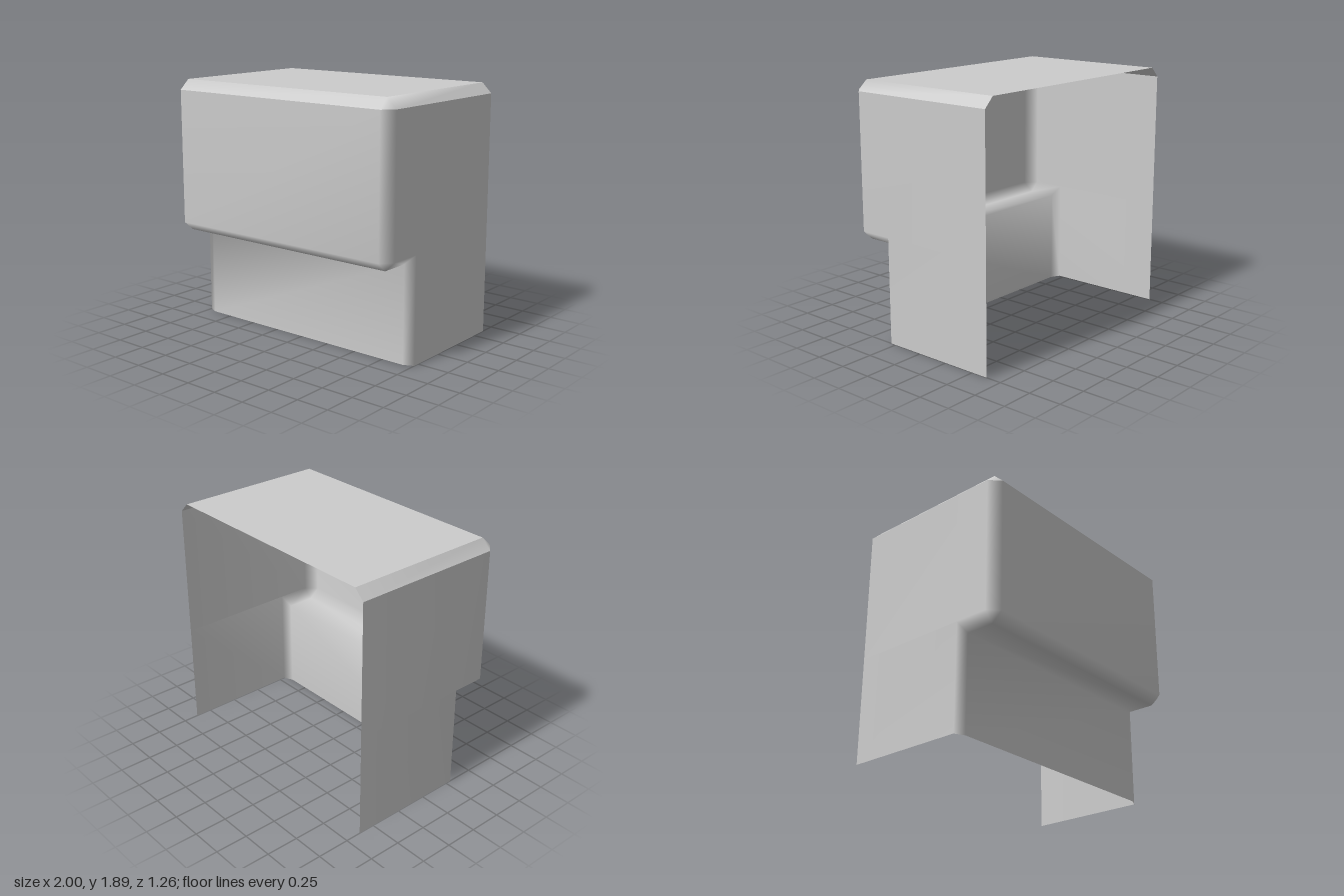
import * as THREE from 'three';
import { mergeVertices } from 'three/addons/utils/BufferGeometryUtils.js';

const BACK = -0.63, HALF = 1, INNER = 0.925;
const material = new THREE.MeshStandardMaterial({ color: 0xcccccc, side: THREE.DoubleSide });

// U-shaped cross-section, open at the back: back edge, side corner, front corner, mirrored in x
function section(sideX, sideY, sideZ, frontY, frontZ) {
  const half = [[sideX, sideY, BACK], [sideX, sideY, sideZ], [INNER, frontY, frontZ]];
  const mirrored = half.map(([x, y, z]) => [-x, y, z]);
  return [...mirrored, ...half.reverse()];
}

// Skin a list of sections, welded so the bevels shade smoothly
function loft(name, rows) {
  const positions = rows.flat(2);
  const n = rows[0].length;
  const index = [];
  for (let r = 0; r < rows.length - 1; r++) {
    for (let i = 0; i < n - 1; i++) {
      const a = r * n + i, b = a + 1, c = b + n, d = a + n;
      index.push(a, b, c, a, c, d);
    }
  }
  let geometry = new THREE.BufferGeometry();
  geometry.setAttribute('position', new THREE.Float32BufferAttribute(positions, 3));
  geometry.setIndex(index);
  geometry = mergeVertices(geometry, 1e-4);
  geometry.computeVertexNormals();
  const mesh = new THREE.Mesh(geometry, material);
  mesh.name = name;
  return mesh;
}

export function createModel() {
  const group = new THREE.Group();
  group.name = 'openBackHousing';

  const rim = section(HALF, 1.82, 0.55, 1.82, 0.63);
  const topEdge = section(INNER, 1.895, 0.55, 1.895, 0.55);

  // Recessed lower front, overhanging ledge and upper front with the side walls
  group.add(loft('walls', [
    section(HALF, 0, 0.295, 0, 0.33),
    section(HALF, 0.8, 0.295, 0.73, 0.33),
    section(HALF, 0.8, 0.55, 0.73, 0.55),
    section(HALF, 0.8, 0.55, 0.8, 0.63),
    rim,
  ]));

  // Sloped band around the top on three sides
  group.add(loft('topBevel', [rim, topEdge]));

  // Flat top panel
  group.add(loft('topPanel', [
    [[-INNER, 1.895, 0.55], [INNER, 1.895, 0.55]],
    [[-INNER, 1.895, BACK], [INNER, 1.895, BACK]],
  ]));

  return group;
}
